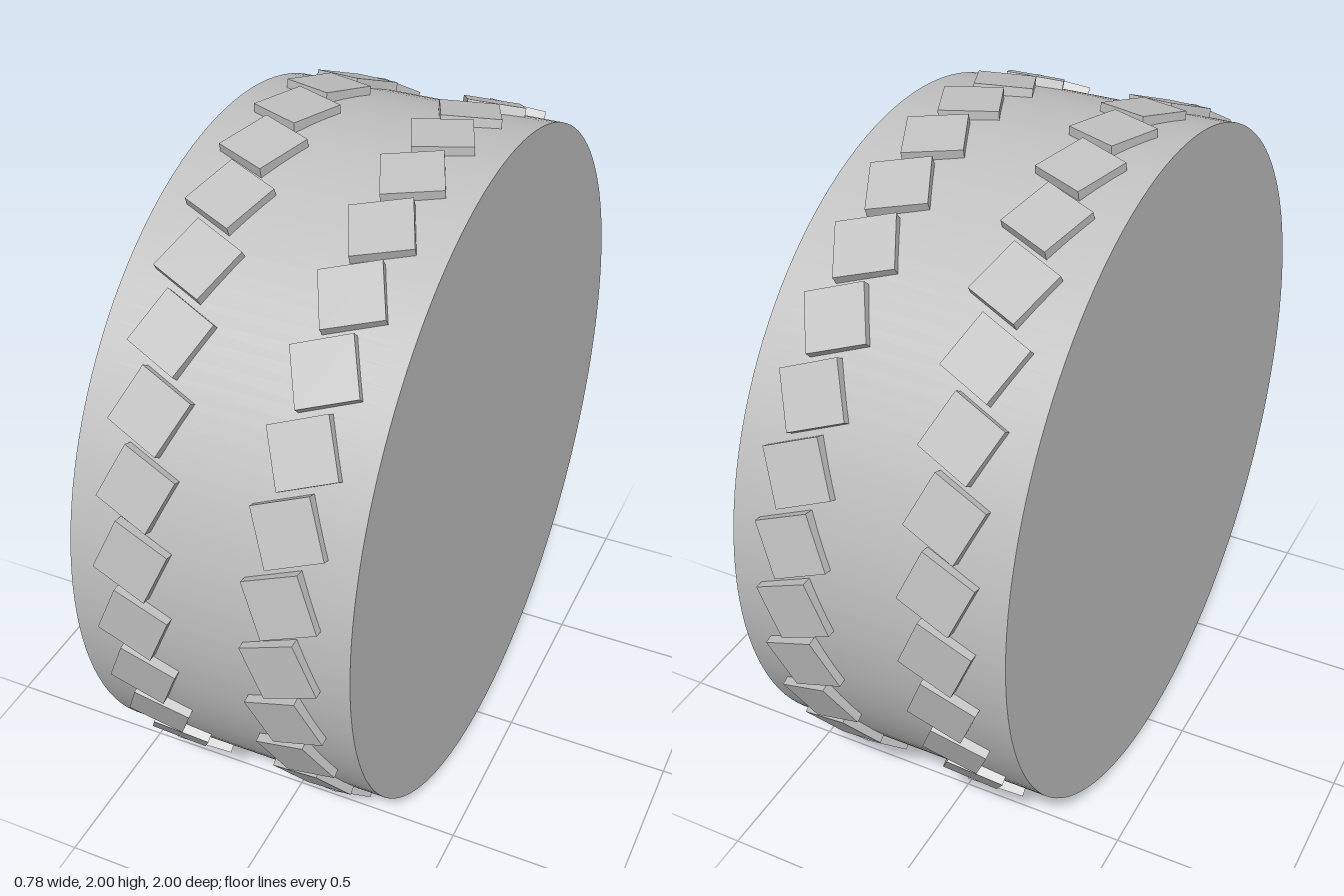
import * as THREE from 'three';

export function createModel() {
  const model = new THREE.Group();
  model.name = 'treadedWheel';
  const grey = new THREE.MeshStandardMaterial({ color: 0xc0c0c0 });
  grey.name = 'grey';

  const radius = 0.977, halfWidth = 0.39;
  const count = 32, padSize = 0.16, padDepth = 0.03, padTilt = 0.4;

  // Smooth solid drum lying along x
  const drum = new THREE.Mesh(
    new THREE.CylinderGeometry(radius, radius, halfWidth * 2, 128), grey);
  drum.name = 'wheelDrum';
  drum.rotation.z = Math.PI / 2;
  drum.position.y = 1;
  model.add(drum);

  // Two mirrored rings of tilted square tread pads, outer faces at radius 1
  for (const side of [-1, 1]) {
    const ring = new THREE.Group();
    ring.name = side > 0 ? 'leftTreadRing' : 'rightTreadRing';
    ring.position.set(side * 0.205, 1, 0);
    const padGeometry = new THREE.BoxGeometry(padSize, padSize, padDepth);
    padGeometry.rotateZ(side * padTilt);
    padGeometry.translate(0, 0, 1 - padDepth / 2);
    for (let i = 0; i < count; i++) {
      const pad = new THREE.Mesh(padGeometry, grey);
      pad.name = 'treadPad';
      pad.rotation.x = -(i / count) * Math.PI * 2;
      ring.add(pad);
    }
    model.add(ring);
  }
  return model;
}
